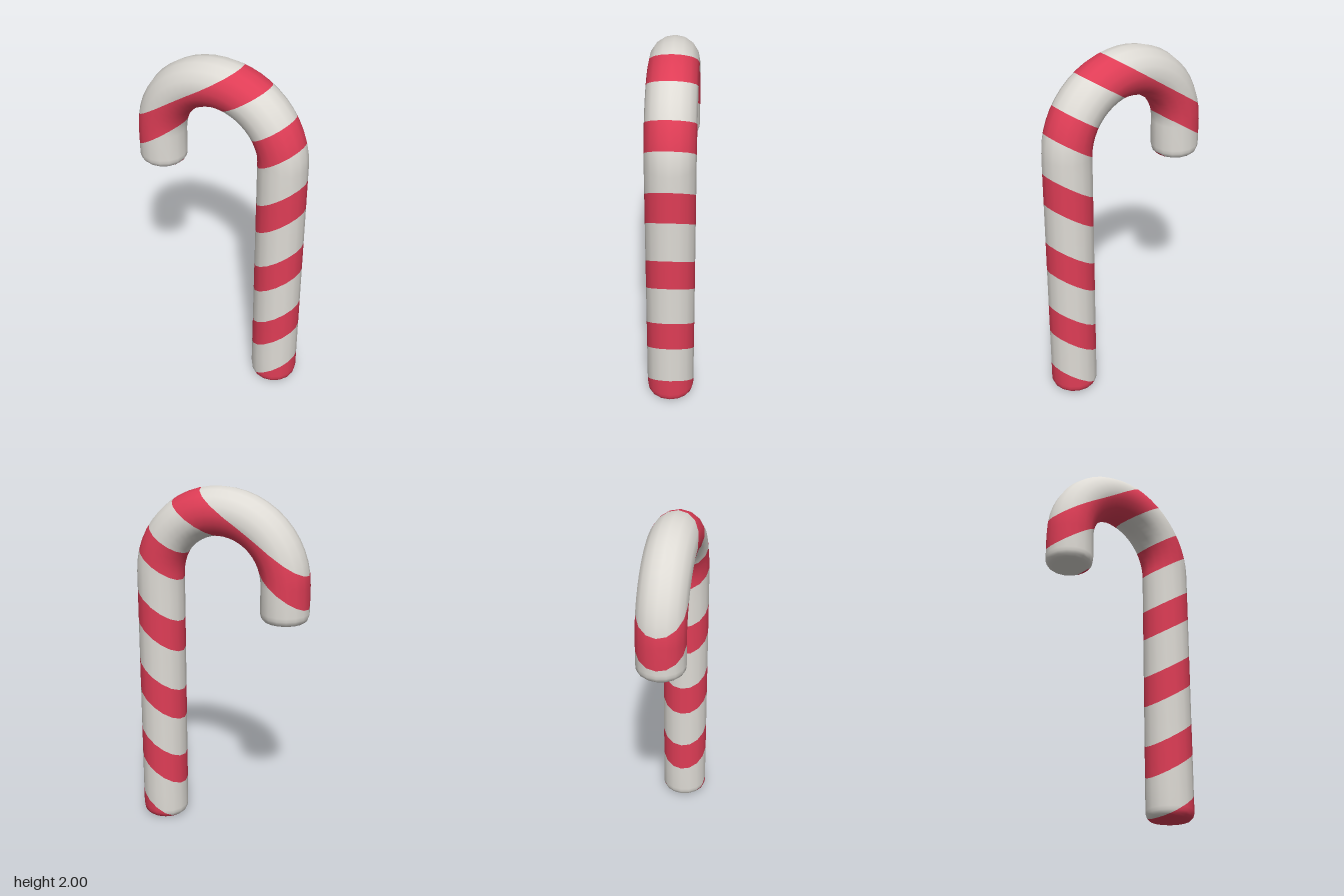
import * as THREE from 'three';
import { mergeVertices } from 'three/addons/utils/BufferGeometryUtils.js';

const SIDES = 16, RADIUS = 0.133, BEND = 0.367, BEND_Y = 1.5, HOOK_Y = 1.3;
// Slanted stripes: height above a tilted plane decides the colour
const SLOPE = 0.685, PERIOD = 0.4165, STRIPE = 0.18, START = -0.015;

// Softly rounded end: [radius, distance from the tip]
const END = [[0, 0], [0.09, 0.001], [0.112, 0.006], [0.125, 0.018], [0.131, 0.035], [RADIUS, 0.055]];

// Rings along the cane: centre, outward direction and radius
function caneRings() {
  const rings = [];
  const ring = (x, y, angle, r) => rings.push({ x, y, angle, r });
  for (const [r, d] of END) ring(BEND, d, 0, r);
  for (let i = 1; i < 12; i++) ring(BEND, 0.055 + (BEND_Y - 0.055) * i / 12, 0, RADIUS);
  for (let i = 0; i <= 24; i++) {
    const a = Math.PI * i / 24;
    ring(BEND * Math.cos(a), BEND_Y + BEND * Math.sin(a), a, RADIUS);
  }
  for (const [r, d] of [...END].reverse()) ring(-BEND, HOOK_Y + d, Math.PI, r);
  return rings;
}

// One smooth closed skin over the rings
function caneSkin() {
  const rings = caneRings(), pos = [], index = [];
  for (const { x, y, angle, r } of rings) {
    for (let j = 0; j < SIDES; j++) {
      const t = 2 * Math.PI * j / SIDES, out = r * Math.cos(t);
      pos.push(x + out * Math.cos(angle), y + out * Math.sin(angle), r * Math.sin(t));
    }
  }
  for (let i = 0; i < rings.length - 1; i++) {
    for (let j = 0; j < SIDES; j++) {
      const a = i * SIDES + j, b = i * SIDES + (j + 1) % SIDES;
      const c = a + SIDES, d = b + SIDES;
      if (rings[i + 1].r > 0) index.push(a, c, d);
      if (rings[i].r > 0) index.push(a, d, b);
    }
  }
  let geo = new THREE.BufferGeometry();
  geo.setAttribute('position', new THREE.Float32BufferAttribute(pos, 3));
  geo.setIndex(index);
  geo = mergeVertices(geo, 1e-5);
  geo.computeVertexNormals();
  return geo;
}

const height = v => v[1] - SLOPE * (v[0] - 0.5);

// Keep the part of a polygon above (sign 1) or below (sign -1) a stripe edge
function clip(poly, edge, sign) {
  const kept = [];
  poly.forEach((p, i) => {
    const q = poly[(i + 1) % poly.length];
    const hp = sign * (height(p) - edge), hq = sign * (height(q) - edge);
    if (hp >= 0) kept.push(p);
    if (hp * hq < 0) kept.push(p.map((v, k) => v + (q[k] - v) * hp / (hp - hq)));
  });
  return kept;
}

// Cut the skin along the stripe edges into two surfaces
function splitStripes(skin) {
  const P = skin.attributes.position, N = skin.attributes.normal, idx = skin.index;
  const parts = [[], []];
  const vertex = i => [P.getX(i), P.getY(i), P.getZ(i), N.getX(i), N.getY(i), N.getZ(i)];
  for (let f = 0; f < idx.count; f += 3) {
    const tri = [0, 1, 2].map(k => vertex(idx.getX(f + k)));
    for (let k = -1; k < 7; k++) {
      const lo = START + k * PERIOD;
      const bands = [[lo, lo + STRIPE], [lo + STRIPE, lo + PERIOD]];
      bands.forEach(([from, to], colour) => {
        const poly = clip(clip(tri, from, 1), to, -1);
        for (let i = 1; i < poly.length - 1; i++) parts[colour].push(poly[0], poly[i], poly[i + 1]);
      });
    }
  }
  return parts.map(verts => {
    const geo = new THREE.BufferGeometry();
    geo.setAttribute('position', new THREE.Float32BufferAttribute(verts.flatMap(v => v.slice(0, 3)), 3));
    geo.setAttribute('normal', new THREE.Float32BufferAttribute(verts.flatMap(v => v.slice(3)), 3));
    geo.normalizeNormals();
    return geo;
  });
}

export function createModel() {
  const red = new THREE.MeshStandardMaterial({ color: 0xdf3d56 });
  red.name = 'candyRed';
  const white = new THREE.MeshStandardMaterial({ color: 0xdedbd5 });
  white.name = 'sugarWhite';

  const cane = new THREE.Group();
  cane.name = 'candyCane';
  const [redGeo, whiteGeo] = splitStripes(caneSkin());
  const redStripes = new THREE.Mesh(redGeo, red);
  redStripes.name = 'redStripes';
  const whiteStripes = new THREE.Mesh(whiteGeo, white);
  whiteStripes.name = 'whiteStripes';
  cane.add(redStripes, whiteStripes);
  return cane;
}
